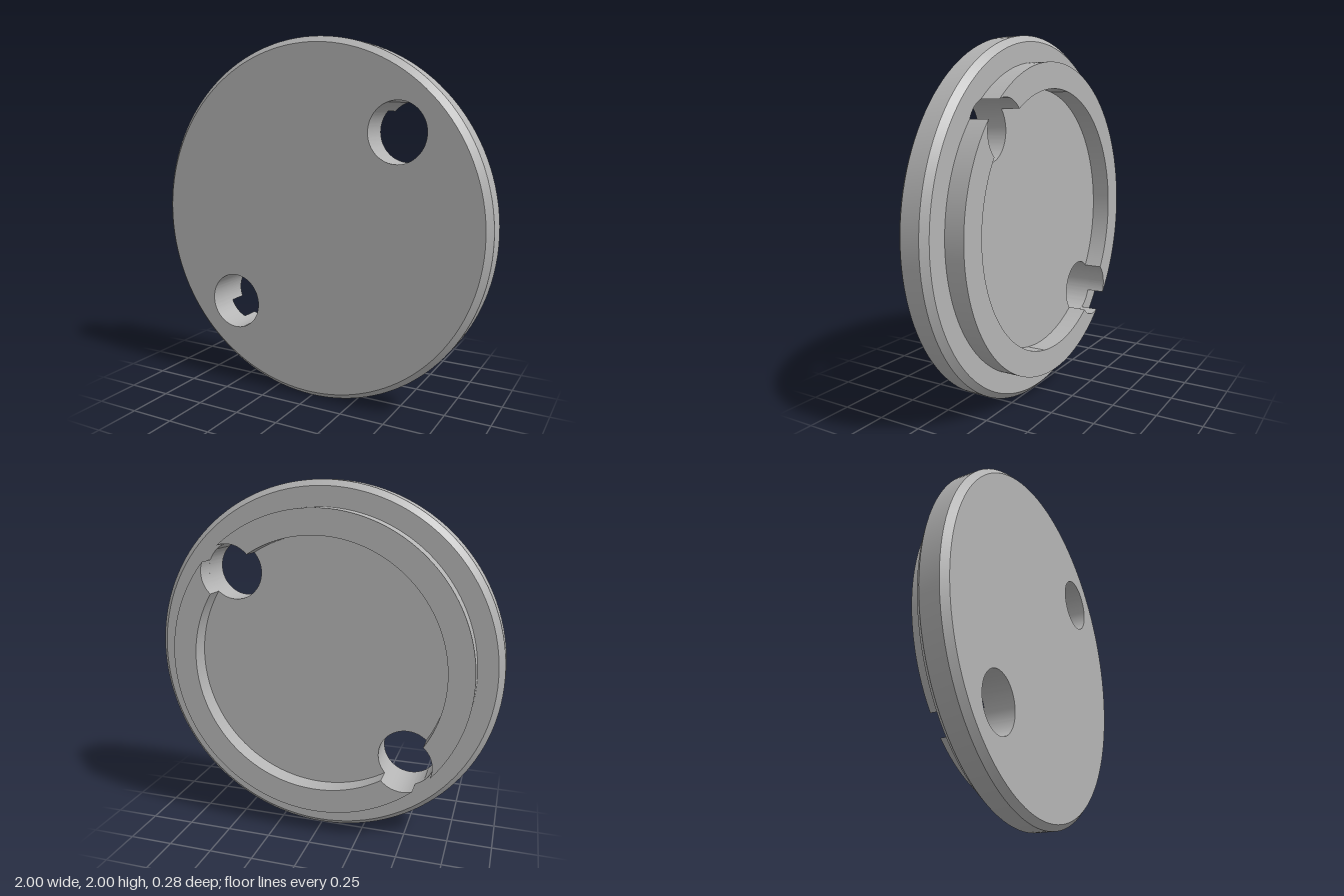
import * as THREE from 'three';
import { toCreasedNormals } from 'three/addons/utils/BufferGeometryUtils.js';

const FRONT = 0.138, BACK = -0.032, RING_BACK = -0.138;
const BEVEL = 0.032, FACE_R = 1 - BEVEL;
const RING_OUT = 0.86, RING_IN = 0.72;
const HOLE_R = 0.16, HOLE_D = 0.503 * Math.SQRT2; // hole distance from the centre

const smooth = (g) => toCreasedNormals(g, 0.5);

// Angle, seen from the centre and from the hole, where a circle of radius r meets the hole
function meet(r) {
  const x = (r * r + HOLE_D * HOLE_D - HOLE_R * HOLE_R) / (2 * HOLE_D);
  const y = Math.sqrt(r * r - x * x);
  return { centre: Math.atan2(y, x), hole: Math.atan2(y, x - HOLE_D) };
}

function extrude(shape, z0, z1) {
  const g = new THREE.ExtrudeGeometry(shape, { depth: z1 - z0, bevelEnabled: false, curveSegments: 64 });
  return smooth(g.translate(0, 0, z0));
}

export function createModel() {
  const grey = new THREE.MeshStandardMaterial({ color: 0xb4b4b4 });
  grey.name = 'plain grey';
  const model = new THREE.Group();
  model.name = 'coverDisc';
  const body = new THREE.Group();
  body.name = 'body';
  body.position.y = 1;
  body.rotation.z = Math.PI / 4; // the holes lie on a diagonal
  model.add(body);

  const add = (name, geometry) => {
    const mesh = new THREE.Mesh(geometry, grey);
    mesh.name = name;
    body.add(mesh);
    return mesh;
  };

  // Flat plate with two through holes
  const plate = new THREE.Shape().absarc(0, 0, FACE_R, 0, Math.PI * 2, false);
  for (const s of [1, -1]) {
    plate.holes.push(new THREE.Path().absarc(s * HOLE_D, 0, HOLE_R, 0, Math.PI * 2, true));
  }
  add('plate', extrude(plate, BACK, FRONT));

  // Chamfered edge around the plate
  const profile = [
    [FACE_R, BACK], [1, BACK + BEVEL], [1, FRONT - BEVEL], [FACE_R, FRONT],
  ].map(([r, z]) => new THREE.Vector2(r, z));
  add('chamferedEdge', smooth(new THREE.LatheGeometry(profile, 128).rotateX(Math.PI / 2)));

  // Raised ring on the back, cut in two by the holes
  const o = meet(RING_OUT), i = meet(RING_IN), PI = Math.PI;
  const half = new THREE.Shape();
  half.absarc(0, 0, RING_OUT, o.centre, PI - o.centre, false);
  half.absarc(-HOLE_D, 0, HOLE_R, PI - o.hole, PI - i.hole, true);
  half.absarc(0, 0, RING_IN, PI - i.centre, i.centre, true);
  half.absarc(HOLE_D, 0, HOLE_R, i.hole, o.hole, true);
  const halfRing = extrude(half, RING_BACK, BACK);
  add('upperRingHalf', halfRing);
  add('lowerRingHalf', halfRing).rotation.z = PI;

  return model;
}
